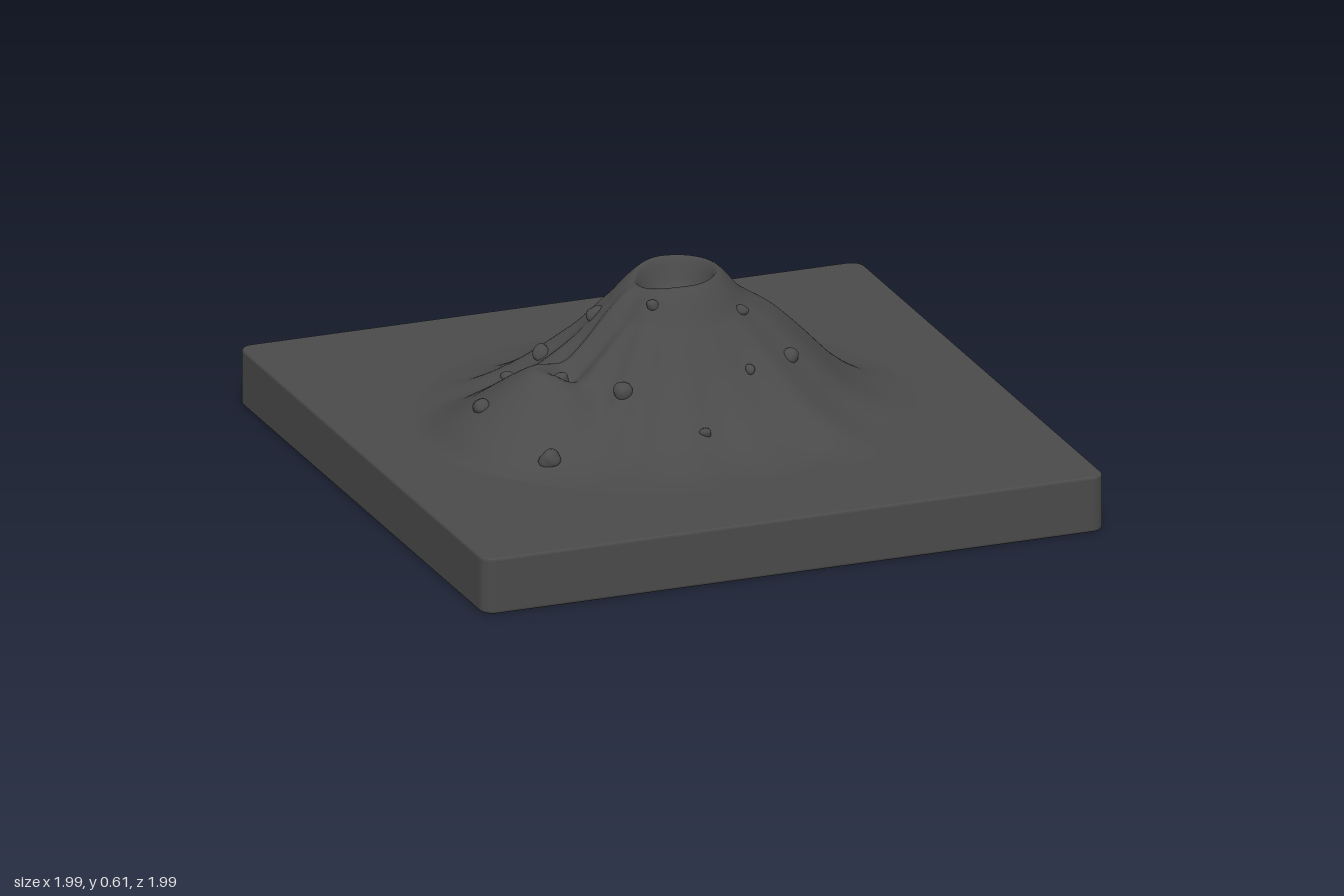
import * as THREE from 'three';

const TOP = 0.173, CX = 0.015, CZ = -0.01, RIM = 0.125;
const { lerp, smoothstep } = THREE.MathUtils;
const gauss = (d, w) => Math.exp(-(d * d) / (w * w));

// Slope heights at radii 0.12, 0.2, 0.3 ... 0.8 towards each side
const RADII = [0.12, 0.2, 0.3, 0.4, 0.5, 0.6, 0.7, 0.8];
const EAST = [0.614, 0.53, 0.458, 0.362, 0.262, 0.2, 0.175, 0.17];
const BACK = [0.612, 0.53, 0.422, 0.335, 0.247, 0.187, 0.172, 0.17];
const WEST = [0.58, 0.51, 0.405, 0.325, 0.265, 0.222, 0.188, 0.17];
const FRONT = [0.602, 0.49, 0.362, 0.267, 0.21, 0.18, 0.172, 0.17];

// Smooth interpolation through a slope profile
function profile(p, r) {
  if (r <= RADII[0]) return p[0];
  if (r >= 0.8) return p[7];
  let i = 0;
  while (RADII[i + 1] < r) i++;
  const at = (k) => p[Math.min(7, Math.max(0, k))];
  const t = (r - RADII[i]) / (RADII[i + 1] - RADII[i]);
  const a = at(i - 1), b = at(i), c = at(i + 1), d = at(i + 2);
  return b + 0.5 * t * (c - a + t * (2 * a - 5 * b + 4 * c - d + t * (3 * (b - c) + d - a)));
}

function height(x, z) {
  const dx = x - CX, dz = z - CZ;
  const r = Math.hypot(dx, dz), a = Math.atan2(dz, dx);
  const c = Math.cos(a), s = Math.sin(a);
  let h = c * c * profile(c > 0 ? EAST : WEST, r) + s * s * profile(s > 0 ? FRONT : BACK, r);

  // Radial ridges and gullies, strongest on the lower west flank
  const flank = smoothstep(r, 0.15, 0.38) * (1 - smoothstep(r, 0.5, 0.75));
  const west = smoothstep(-c, 0.1, 0.9);
  h += flank * (0.006 * Math.sin(7 * a + 1) + 0.005 * Math.sin(13 * a + 2.2)
    + west * 0.009 * Math.sin(19 * a + 0.5));

  // Side vent: a smaller cone with a shallow hollow, joined to the summit by a spur
  const v = Math.hypot(x + 0.42, z - 0.07);
  const cone = 0.385 - 0.72 * Math.max(0, Math.sqrt(v * v + 0.003) - 0.07);
  const k = 0.04, m = Math.max(k - Math.abs(h - cone), 0) / k;
  h = Math.max(h, cone) + m * m * k * 0.25;
  h -= 0.04 * gauss(Math.hypot(x + 0.37, z - 0.08), 0.045);
  const spur = smoothstep(-x, 0.1, 0.18) * (1 - smoothstep(-x, 0.3, 0.42));
  h += spur * (0.02 * gauss(z - 0.01, 0.03) - 0.018 * gauss(z - 0.06, 0.03));

  // Crater bowl with a steep inner wall
  if (r < RIM) h -= 0.085 * smoothstep(RIM - r, 0, 0.05) + 0.01 * (1 - r / RIM);
  return lerp(h, 0.168, smoothstep(r, 0.72, 0.85));
}

// Mountain: concentric rings around the crater, lifted by the height rule
function mountainGeometry() {
  const rings = 100, sides = 180, pos = [CX, height(CX, CZ), CZ], index = [];
  for (let i = 1; i <= rings; i++) {
    const r = 0.87 * Math.pow(i / rings, 1.15);
    for (let j = 0; j < sides; j++) {
      const a = (j / sides) * Math.PI * 2;
      const x = CX + r * Math.cos(a), z = CZ + r * Math.sin(a);
      pos.push(x, height(x, z), z);
      const n = (j + 1) % sides, o = 1 + (i - 1) * sides, q = o - sides;
      if (i === 1) index.push(0, o + n, o + j);
      else index.push(q + j, q + n, o + j, q + n, o + n, o + j);
    }
  }
  const g = new THREE.BufferGeometry();
  g.setAttribute('position', new THREE.Float32BufferAttribute(pos, 3));
  g.setIndex(index);
  g.computeVertexNormals();
  return g;
}

// Slab: square with rounded corners and a softened edge
function slabGeometry() {
  const bevel = 0.008, e = 0.981 - bevel, r = 0.035;
  const shape = new THREE.Shape();
  [[1, 1, 0], [-1, 1, 1], [-1, -1, 2], [1, -1, 3]].forEach(([sx, sy, q]) =>
    shape.absarc(sx * (e - r), sy * (e - r), r, q * Math.PI / 2, (q + 1) * Math.PI / 2, false));
  const g = new THREE.ExtrudeGeometry(shape, {
    depth: TOP - 2 * bevel, bevelThickness: bevel, bevelSize: bevel, bevelSegments: 3, curveSegments: 8,
  });
  return g.rotateX(-Math.PI / 2).translate(0, bevel, 0);
}

// Boulder: a sphere pushed in and out by a few waves
function boulderGeometry(seed) {
  const g = new THREE.SphereGeometry(1, 16, 12), p = g.attributes.position;
  const v = new THREE.Vector3();
  for (let i = 0; i < p.count; i++) {
    v.fromBufferAttribute(p, i);
    v.multiplyScalar(1 + 0.1 * Math.sin(3 * v.x + seed) + 0.08 * Math.sin(4 * v.y + 2 * v.z + seed * 2));
    p.setXYZ(i, v.x, v.y, v.z);
  }
  g.computeVertexNormals();
  return g;
}

export function createModel() {
  const group = new THREE.Group();
  group.name = 'volcano';
  const rock = new THREE.MeshStandardMaterial({ color: 0x4a4a4a });
  const add = (name, geometry, parent = group) => {
    const mesh = new THREE.Mesh(geometry, rock);
    mesh.name = name;
    parent.add(mesh);
    return mesh;
  };

  add('baseSlab', slabGeometry()).rotation.y = 0.0155;
  add('mountain', mountainGeometry());

  // Boulders resting on the slopes: x, z, size
  const boulders = new THREE.Group();
  boulders.name = 'boulders';
  group.add(boulders);
  [[-0.34, -0.19, 0.029], [-0.21, -0.085, 0.028], [-0.5, -0.045, 0.02], [-0.62, 0.06, 0.029],
    [-0.38, 0.085, 0.028], [-0.1, 0.105, 0.018], [-0.24, 0.23, 0.029], [-0.52, 0.365, 0.034],
    [0.17, 0.125, 0.02], [0.145, 0.265, 0.017], [0.3, 0.19, 0.026], [-0.05, 0.41, 0.018],
  ].forEach(([x, z, s], i) => {
    const b = add('boulder', boulderGeometry(i * 1.7), boulders);
    b.position.set(x, height(x, z), z);
    b.scale.set(s * 0.85, s * 0.85, s);
    b.rotation.set(0.5, i * 2.1, 0.3);
  });
  return group;
}
